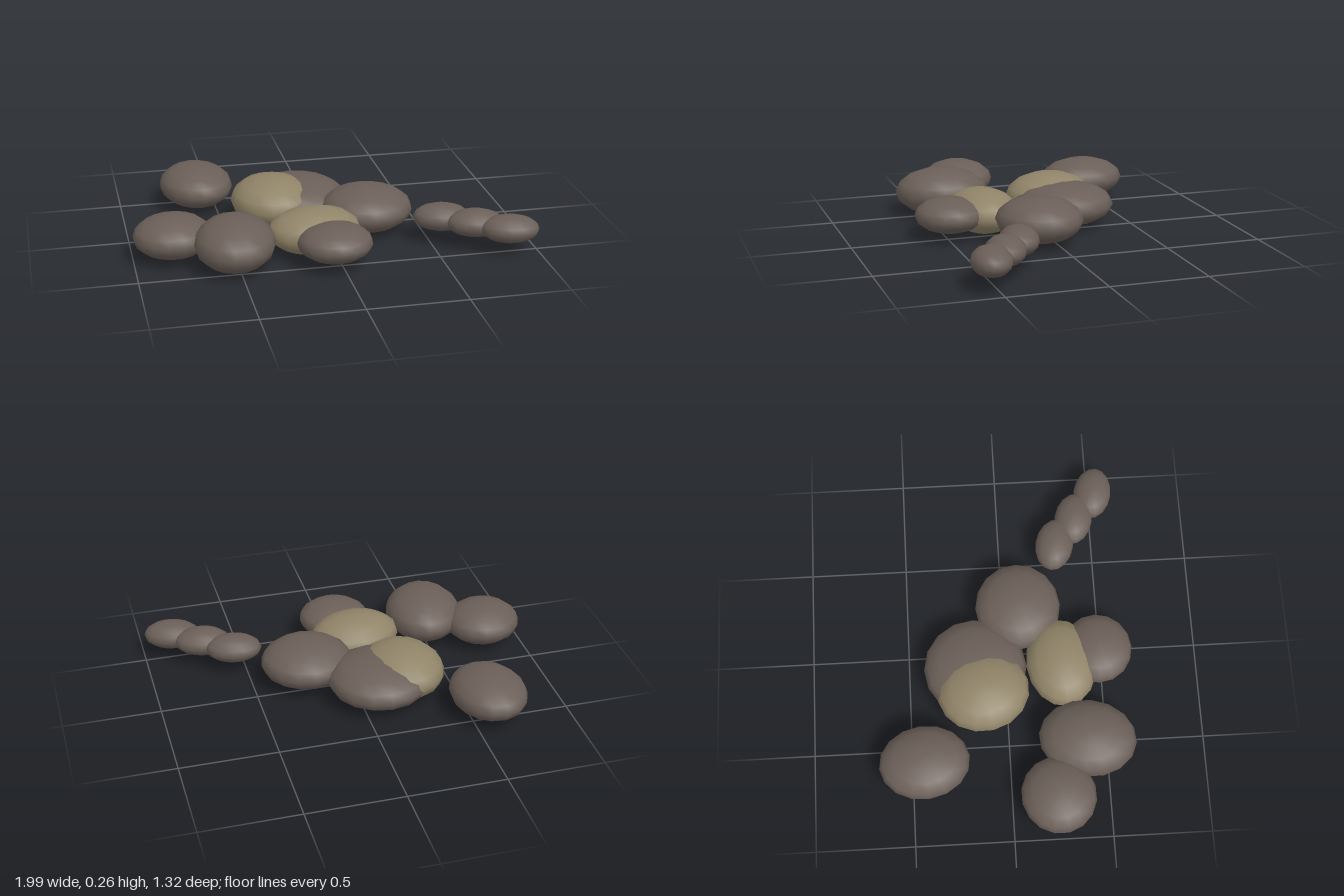
import * as THREE from 'three';

export function createModel() {
  const group = new THREE.Group();
  const darkStone = new THREE.MeshStandardMaterial({ color: 0x6b5f58 });
  darkStone.name = 'darkStone';
  const mossyStone = new THREE.MeshStandardMaterial({ color: 0x908468 });
  mossyStone.name = 'mossyStone';

  // One coarse sphere, stretched into every flat pebble
  const pebble = new THREE.SphereGeometry(1, 16, 8);
  function addStone(name, material, [x, y, z], [rx, ry, rz], turn = 0) {
    const stone = new THREE.Mesh(pebble, material);
    stone.name = name;
    stone.position.set(x, y, z);
    stone.scale.set(rx, ry, rz);
    stone.rotation.y = turn;
    group.add(stone);
  }

  // Overlapping stones in the middle
  addStone('backMossyStone', mossyStone, [-0.235, 0.132, -0.12], [0.217, 0.128, 0.238], 0.2);
  addStone('backStone', darkStone, [-0.105, 0.12, -0.155], [0.265, 0.112, 0.265]);
  addStone('leftStone', darkStone, [0.218, 0.132, 0.082], [0.238, 0.115, 0.222]);
  addStone('frontMossyStone', mossyStone, [-0.098, 0.118, 0.29], [0.238, 0.114, 0.182], 0.08);
  addStone('frontStone', darkStone, [-0.033, 0.125, 0.48], [0.188, 0.09, 0.18]);

  // Loose stones on the right and behind
  addStone('farBackStone', darkStone, [-0.597, 0.128, -0.435], [0.192, 0.108, 0.231], 0.1);
  addStone('farRightStone', darkStone, [-0.8, 0.125, 0.232], [0.2, 0.105, 0.19], 0.2);
  addStone('rightStone', darkStone, [-0.515, 0.132, 0.397], [0.203, 0.127, 0.249], -0.15);

  // Row of three small pebbles trailing to the left
  for (let i = 0; i < 3; i++) {
    addStone('smallPebble' + (i + 1), darkStone,
      [0.56 + i * 0.145, 0.135, 0.297 + i * 0.111], [0.147, 0.07, 0.1], -0.2);
  }
  return group;
}
